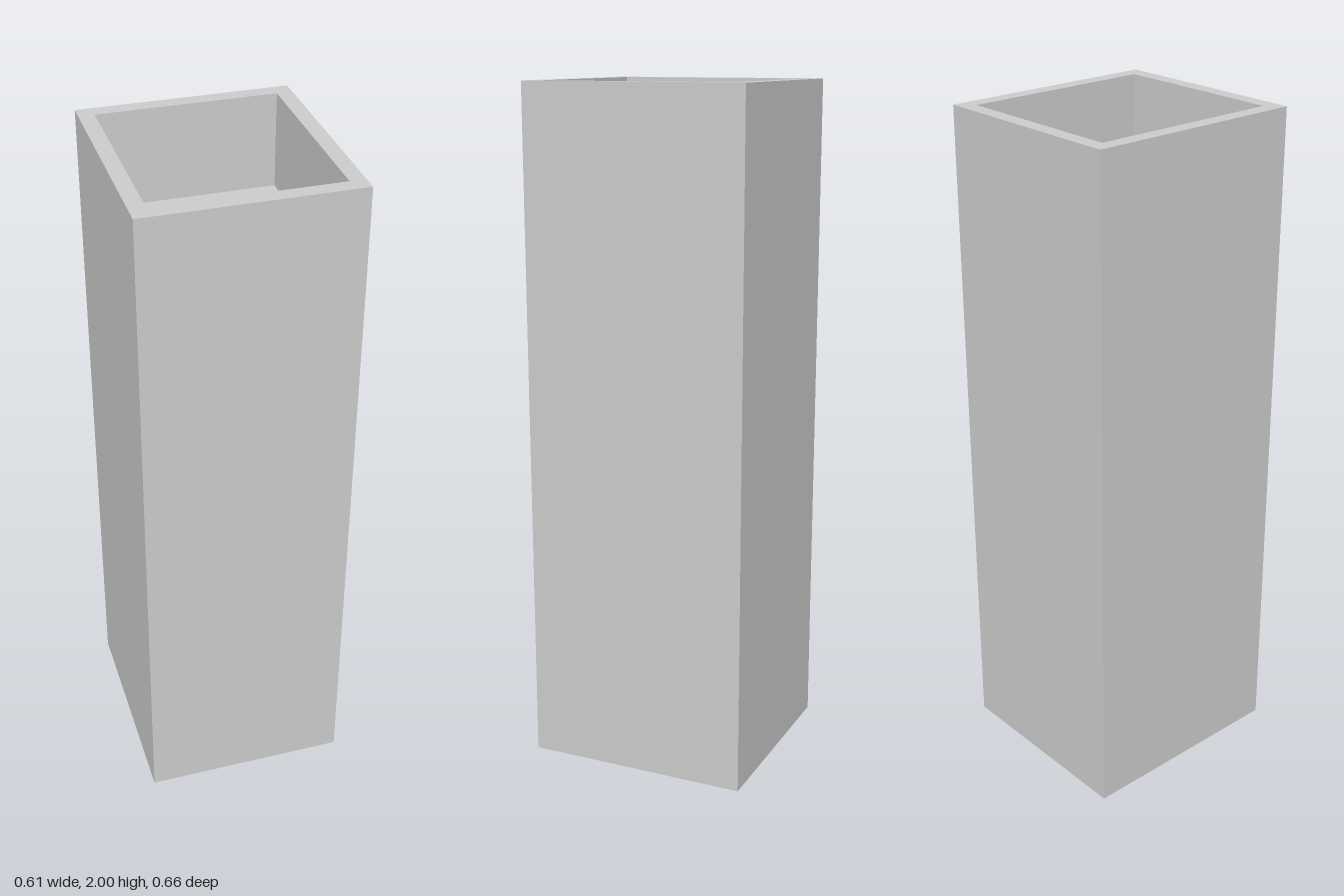
import * as THREE from 'three';

const W = 0.608, D = 0.662, H = 2;   // outer size
const WALL = 0.045, FLOOR = 1.72;    // rim thickness, height of the recess floor

function rect(PathType, w, d) {
  return new PathType([[-1, -1], [1, -1], [1, 1], [-1, 1]]
    .map(([x, y]) => new THREE.Vector2(x * w / 2, y * d / 2)));
}

// Upright prism of a shape between two heights
function prism(shape, y0, y1) {
  const g = new THREE.ExtrudeGeometry(shape, { depth: y1 - y0, bevelEnabled: false });
  return g.rotateX(-Math.PI / 2).translate(0, y0, 0);
}

export function createModel() {
  const group = new THREE.Group();
  group.name = 'squarePlanter';
  const material = new THREE.MeshStandardMaterial({ color: 0xcccccc });

  // Full-height hollow shell
  const outline = rect(THREE.Shape, W, D);
  outline.holes.push(rect(THREE.Path, W - 2 * WALL, D - 2 * WALL));
  const shell = new THREE.Mesh(prism(outline, 0, H), material);
  shell.name = 'shell';

  // Solid core whose top is the floor of the recess
  const core = new THREE.Mesh(prism(rect(THREE.Shape, W - 2 * WALL, D - 2 * WALL), 0, FLOOR), material);
  core.name = 'core';

  group.add(shell, core);
  return group;
}
